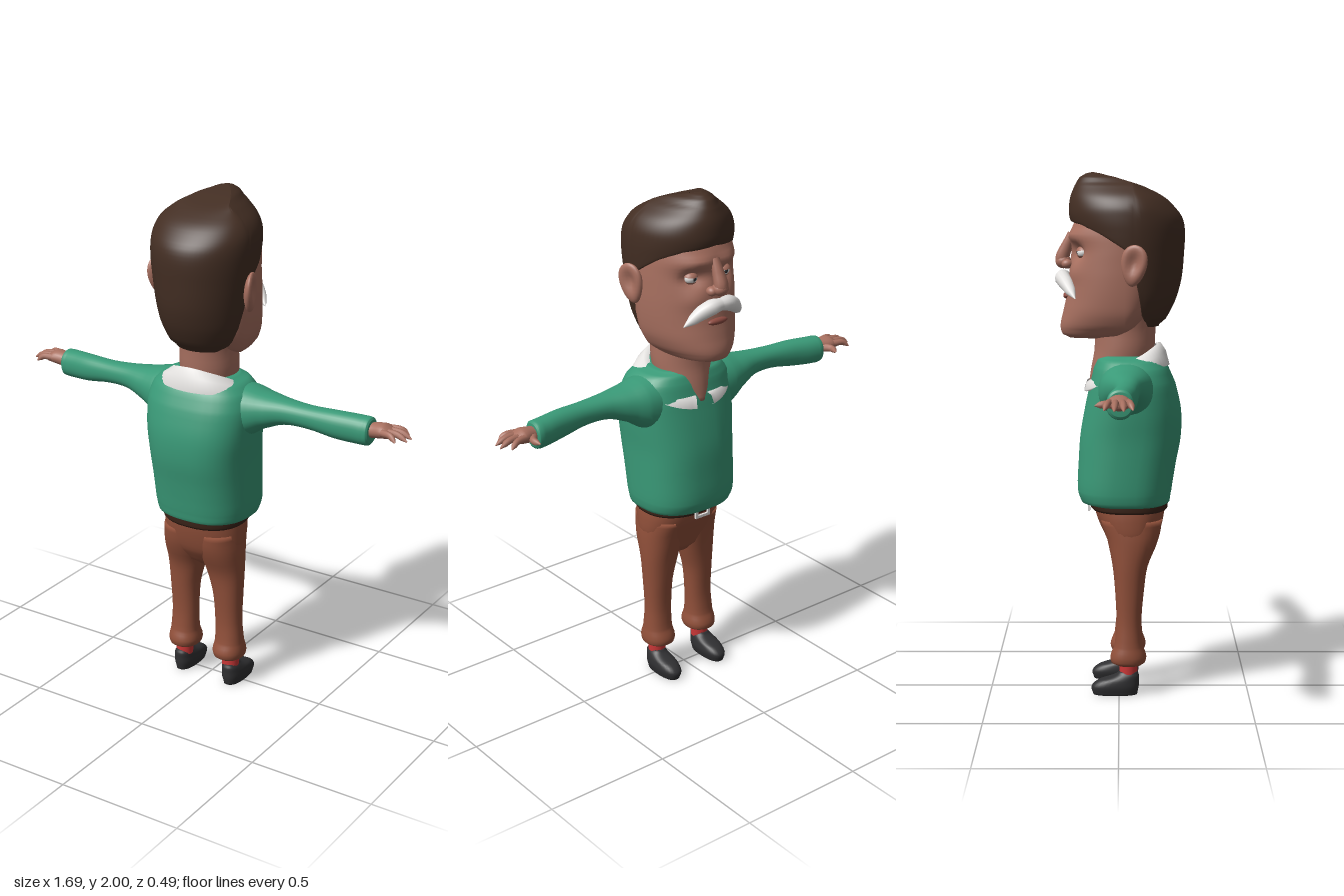
import * as THREE from 'three';

const mat = (name, color, side = THREE.FrontSide) => {
  const m = new THREE.MeshStandardMaterial({ color, side });
  m.name = name;
  return m;
};

// Grid surface from fn(row, col); wrap joins the last column to the first
function grid(rows, cols, fn, wrap = true) {
  const pos = [], idx = [];
  for (let i = 0; i < rows; i++) for (let j = 0; j < cols; j++) pos.push(...fn(i, j));
  for (let i = 0; i < rows - 1; i++) for (let j = 0; j < (wrap ? cols : cols - 1); j++) {
    const a = i * cols + j, b = i * cols + (j + 1) % cols, c = a + cols, d = b + cols;
    idx.push(a, c, b, b, c, d);
  }
  const g = new THREE.BufferGeometry();
  g.setAttribute('position', new THREE.Float32BufferAttribute(pos, 3));
  g.setIndex(idx);
  g.computeVertexNormals();
  return g;
}

// Smooth interpolation between table rows
function smoothRows(rows, sub = 4) {
  const out = [], at = i => rows[Math.min(Math.max(i, 0), rows.length - 1)];
  for (let i = 0; i < rows.length - 1; i++) for (let s = 0; s < sub; s++) {
    const t = s / sub;
    out.push(rows[i].map((p1, k) => {
      const p0 = at(i - 1)[k], p2 = at(i + 1)[k], p3 = at(i + 2)[k];
      return p1 + 0.5 * t * (p2 - p0 + t * (2 * p0 - 5 * p1 + 4 * p2 - p3 + t * (3 * (p1 - p2) + p3 - p0)));
    }).map((v, k) => (k ? v : p(rows[i][0], rows[i + 1][0], t))));
  }
  out.push(rows[rows.length - 1]);
  return out;
}
const p = (a, b, t) => a + (b - a) * t;
const spow = (v, e) => Math.sign(v) * Math.abs(v) ** e;

// Closed loft; a row is [t, aMin, aMax, bMin, bMax]. Axis y: a = x, b = z. Axis x: a = z, b = y
function loft(table, { axis = 'y', power = 2, mid, cols = 32 } = {}) {
  const rows = smoothRows(table), n = rows.length;
  return grid(n + 2, cols, (i, j) => {
    const [t, a0, a1, b0, b1] = rows[Math.min(Math.max(i - 1, 0), n - 1)];
    const r = i === 0 || i === n + 1 ? 0 : 1, th = j / cols * 2 * Math.PI;
    const ca = (a0 + a1) / 2, cb = mid === undefined ? (b0 + b1) / 2 : Math.min(Math.max(mid, b0 + 0.03), b1 - 0.03);
    const s = r * spow(Math.sin(th), 2 / power);
    const a = ca + r * spow(Math.cos(th), 2 / power) * (a1 - a0) / 2;
    const b = cb + s * (s > 0 ? b1 - cb : cb - b0);
    return axis === 'y' ? [a, t, b] : [t, b, a];
  });
}

// Tube along points with a radius per point
function taper(points, radii, seg = 16, sides = 10) {
  const curve = new THREE.CatmullRomCurve3(points.map(q => new THREE.Vector3(...q)));
  const g = new THREE.TubeGeometry(curve, seg, 1, sides), v = new THREE.Vector3(), P = g.attributes.position;
  for (let k = 0; k < P.count; k++) {
    const t = Math.floor(k / (sides + 1)) / seg, f = t * (radii.length - 1), i = Math.min(Math.floor(f), radii.length - 2);
    const c = curve.getPointAt(t);
    v.fromBufferAttribute(P, k).sub(c).multiplyScalar(p(radii[i], radii[i + 1], f - i)).add(c);
    P.setXYZ(k, v.x, v.y, v.z);
  }
  return g;
}

function mirrored(geo) {
  const g = geo.clone().scale(-1, 1, 1), ix = g.index.array;
  for (let i = 0; i < ix.length; i += 3) [ix[i], ix[i + 1]] = [ix[i + 1], ix[i]];
  const N = g.attributes.normal, M = geo.attributes.normal;
  for (let i = 0; i < N.count; i++) N.setXYZ(i, -M.getX(i), M.getY(i), M.getZ(i));
  return g;
}

const ball = (x, y, z, rx, ry, rz) => new THREE.SphereGeometry(1, 24, 16).scale(rx, ry, rz).translate(x, y, z);

export function createModel() {
  const root = new THREE.Group();
  root.name = 'figure';
  const skin = mat('skin', 0xa87060), green = mat('sweaterGreen', 0x3a9a78), brown = mat('trouserBrown', 0x91503a);
  const hairMat = mat('hairBrown', 0x432e23), white = mat('white', 0xe4e2e0, THREE.DoubleSide), black = mat('shoeBlack', 0x303032);
  const red = mat('sockRed', 0xcc3838), leather = mat('beltLeather', 0x3a2318), lipMat = mat('lip', 0x8e4c42);
  const add = (name, geo, m) => {
    const mesh = new THREE.Mesh(geo, m);
    mesh.name = name;
    root.add(mesh);
  };
  const pair = (name, geo, m) => { add(name, geo, m); add(name, mirrored(geo), m); };

  // Shoes, socks and trousers
  pair('shoe', loft([[0, .078, .15, -.1, .07], [.03, .07, .157, -.107, .076], [.055, .072, .155, -.08, .077], [.075, .078, .148, -.02, .077], [.09, .085, .14, 0, .07]], { power: 2.4 }), black);
  pair('sock', new THREE.CylinderGeometry(.036, .034, .08, 20).translate(.11, .11, .036), red);
  pair('trouserLeg', loft([[.115, .06, .15, -.01, .085], [.125, .045, .164, -.03, .1], [.15, .04, .168, -.033, .105], [.19, .048, .162, -.018, .092], [.28, .048, .156, -.01, .086], [.4, .04, .16, -.015, .095], [.5, .014, .165, -.025, .11], [.6, -.01, .166, -.045, .15], [.68, -.01, .16, -.07, .165]], { power: 2.2 }), brown);
  add('trouserHips', loft([[.51, -.04, .04, 0, .07], [.54, -.1, .1, -.025, .11], [.6, -.158, .158, -.05, .15], [.68, -.165, .165, -.085, .172], [.75, -.158, .158, -.1, .18]], { power: 2.3 }), brown);
  add('belt', loft([[.712, -.164, .164, -.102, .182], [.72, -.168, .168, -.11, .188], [.76, -.168, .168, -.116, .19]], { power: 2.3 }), leather);
  const frame = new THREE.Shape([[-.035, -.024], [.035, -.024], [.035, .024], [-.035, .024]].map(q => new THREE.Vector2(...q)));
  frame.holes.push(new THREE.Path([[-.023, -.013], [-.023, .013], [.023, .013], [.023, -.013]].map(q => new THREE.Vector2(...q))));
  add('beltBuckle', new THREE.ExtrudeGeometry(frame, { depth: .009, bevelEnabled: false }).translate(0, .727, -.121), white);

  // Sweater body and sleeves
  add('sweaterBody', loft([[.735, -.165, .165, -.115, .182], [.745, -.19, .19, -.145, .195], [.79, -.2, .2, -.16, .203], [.9, -.204, .204, -.156, .22], [1, -.208, .208, -.149, .238], [1.1, -.218, .218, -.132, .238], [1.2, -.222, .222, -.112, .216], [1.26, -.205, .205, -.098, .19], [1.295, -.17, .17, -.085, .165], [1.31, -.12, .12, -.07, .14]], { power: 2.5, cols: 40 }), green);
  pair('sleeve', loft([[.08, -.08, .15, 1.06, 1.3], [.2, -.075, .13, 1.09, 1.285], [.26, -.055, .11, 1.13, 1.272], [.35, -.025, .085, 1.165, 1.262], [.45, -.015, .074, 1.168, 1.256], [.56, -.025, .068, 1.152, 1.257], [.66, -.042, .054, 1.145, 1.254], [.685, -.042, .052, 1.147, 1.252], [.692, -.034, .045, 1.158, 1.243]], { axis: 'x', power: 2.2 }), green);

  // Hands
  pair('palm', loft([[.66, -.025, .035, 1.175, 1.23], [.7, -.03, .035, 1.178, 1.236], [.74, -.04, .042, 1.185, 1.24], [.765, -.038, .04, 1.19, 1.228], [.778, -.028, .03, 1.198, 1.22]], { axis: 'x', cols: 20 }), skin);
  for (const [z0, x1, z1] of [[-.03, .815, -.05], [-.01, .842, -.015], [.013, .84, .018], [.032, .808, .05]])
    pair('finger', taper([[.745, 1.215, z0], [(.75 + x1) / 2 + .005, 1.214, (z0 + z1) / 2], [x1, 1.195, z1]], [.014, .013, .012, .011, .002]), skin);
  pair('thumb', taper([[.7, 1.205, -.015], [.722, 1.205, -.05], [.715, 1.2, -.083]], [.016, .016, .014, .012, .002]), skin);

  // Neck and collar
  add('neck', loft([[1.19, -.06, .06, -.115, .1], [1.25, -.1, .1, -.108, .12], [1.33, -.112, .112, -.094, .135], [1.42, -.112, .112, -.094, .14], [1.55, -.13, .13, -.09, .15]]), skin);
  add('collar', grid(5, 57, (i, j) => {
    const f = .2 + j / 56 * (2 * Math.PI - .4), k = (1 + Math.cos(f)) / 2, s = Math.sin(f), c = -Math.cos(f);
    const ring = [[.112, 1.35 - .15 * k, .022, .122], [.138, 1.355 - .14 * k, .024, .135], [.178, 1.325 - .12 * k, .026, .153], [.204, 1.272 - .1 * k * k, .028, .165], [.196, 1.268 - .1 * k * k, .028, .156]][i];
    return [ring[0] * s, ring[1], ring[2] + ring[3] * c];
  }, false), white);

  // Head, with eye sockets, brow ridge and cheeks pushed into the face
  const head = loft([[1.375, -.06, .06, -.19, -.06], [1.388, -.115, .115, -.216, .01], [1.42, -.15, .15, -.224, .07], [1.47, -.172, .172, -.214, .12], [1.53, -.181, .181, -.201, .15], [1.6, -.185, .185, -.192, .17], [1.66, -.185, .185, -.186, .18], [1.71, -.184, .184, -.182, .18], [1.77, -.18, .18, -.185, .18], [1.83, -.17, .17, -.16, .17], [1.88, -.13, .13, -.12, .12]], { power: 2.15, mid: .02, cols: 64 });
  const P = head.attributes.position;
  const bump = (dx, dy, w, h) => Math.exp(-((dx / w) ** 2) - (dy / h) ** 2);
  for (let i = 0; i < P.count; i++) {
    const x = Math.abs(P.getX(i)), y = P.getY(i), z = P.getZ(i);
    if (z < -.02) P.setZ(i, z + .032 * bump(x - .078, y - 1.7, .042, .032) - .014 * bump(x - .075, y - 1.76, .06, .02) - .008 * bump(x - .09, y - 1.62, .04, .03));
  }
  head.computeVertexNormals();
  add('head', head, skin);

  // Ears with a hollow on the outer face
  const ear = ball(0, 0, 0, .024, .078, .05), E = ear.attributes.position;
  for (let i = 0; i < E.count; i++) {
    const x = E.getX(i), y = E.getY(i), z = E.getZ(i);
    E.setXYZ(i, x > 0 ? x - .026 * bump(y - .01, z, .042, .025) : x, y, z * (1 + 3 * y));
  }
  ear.computeVertexNormals();
  pair('ear', ear.rotateZ(-.12).rotateY(.3).rotateX(.15).translate(.202, 1.655, .055), skin);

  // Nose
  add('noseBridge', taper([[0, 1.77, -.178], [0, 1.72, -.2], [0, 1.67, -.216], [0, 1.645, -.2]], [.018, .02, .025, .028, .01]), skin);
  add('noseTip', ball(0, 1.664, -.212, .031, .027, .03), skin);
  pair('nostril', ball(.028, 1.655, -.197, .019, .018, .022), skin);

  // Eyes
  pair('eyeball', ball(.076, 1.7, -.134, .026, .022, .024), white);
  pair('pupil', ball(.074, 1.7, -.155, .008, .009, .005), black);
  pair('upperLid', new THREE.SphereGeometry(1, 24, 10, 0, 2 * Math.PI, 0, 1.25).scale(.03, .026, .028).rotateX(-.1).translate(.076, 1.7, -.134), skin);
  pair('lowerLid', new THREE.SphereGeometry(1, 24, 10, 0, 2 * Math.PI, 2.05, Math.PI - 2.05).scale(.029, .025, .027).translate(.076, 1.7, -.134), skin);

  // Mouth and moustache
  add('lowerLip', ball(0, 1.535, -.199, .045, .013, .014), lipMat);
  pair('moustache', taper([[-.005, 1.603, -.214], [.035, 1.602, -.214], [.075, 1.582, -.198], [.108, 1.553, -.18], [.132, 1.53, -.165]], [.022, .03, .028, .02, .002], 24, 14), white);

  // Hair: shell whose lower edge rises over the brow and falls behind the ears
  const H = smoothRows([[1.42, .11, -.1, .15], [1.45, .142, -.11, .182], [1.52, .168, -.12, .216], [1.6, .182, -.13, .238], [1.7, .195, -.14, .247], [1.78, .202, -.17, .25], [1.83, .202, -.188, .24], [1.87, .196, -.19, .21], [1.91, .172, -.184, .166], [1.95, .122, -.168, .085], [1.98, .072, -.15, -.01], [1.995, .032, -.125, -.07], [2, .001, -.101, -.099]], 6);
  const edge = [[0, 1.825], [.6, 1.81], [1, 1.775], [1.3, 1.735], [1.56, 1.7], [1.68, 1.56], [1.85, 1.46], [2.2, 1.425], [3.2, 1.425]];
  const look = (table, v) => {
    let i = 0;
    while (i < table.length - 2 && table[i + 1][0] < v) i++;
    const t = Math.min(Math.max((v - table[i][0]) / (table[i + 1][0] - table[i][0]), 0), 1);
    return table[i].map((a, k) => p(a, table[i + 1][k], t));
  };
  const rows = 44, cols = 72;
  add('hair', grid(rows, cols, (i, j) => {
    const th = j / cols * 2 * Math.PI, d = Math.acos(-Math.sin(th)), low = look(edge, d)[1];
    const u = Math.max(i - 4, 0) / (rows - 5), y = p(low, 2, 1 - (1 - u) ** 1.5);
    const [, rx, zf, zb] = look(H, y), c = Math.min(Math.max(.05, zf + .001), zb - .001), s = Math.sin(th);
    const curl = [.7, .9, .96, .99][i] ?? 1, lift = [.025, .002, -.006, -.005][i] ?? 0;
    return [curl * rx * Math.cos(th), y + lift, c + curl * s * (s > 0 ? zb - c : c - zf)];
  }), hairMat);

  return root;
}
